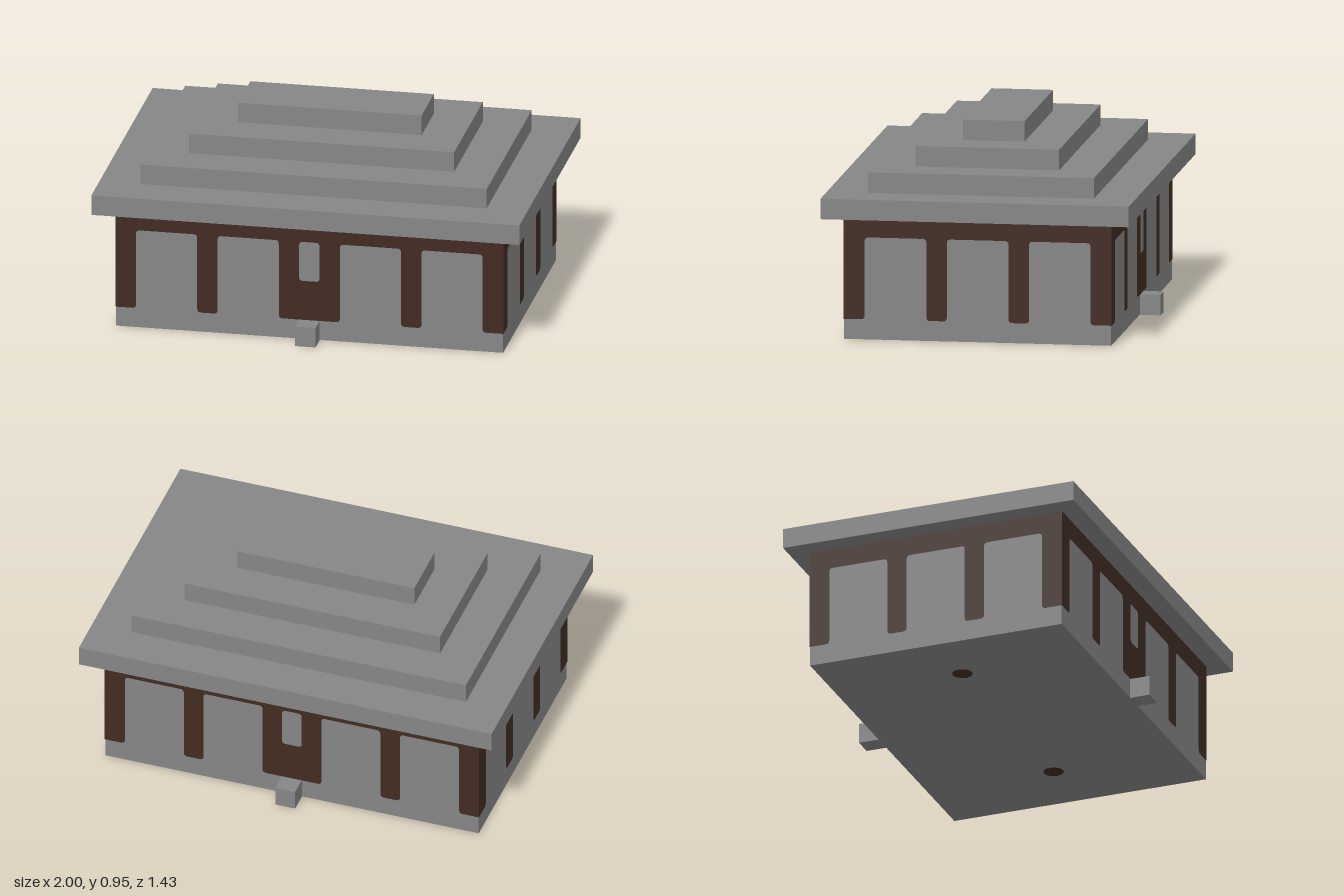
import * as THREE from 'three';

const U = 2 / 21;      // one block of the building grid
const SKIN = 0.002;    // how far painted timber stands off the wall
const R = 0.018;       // corner rounding of the timber pattern

// Traces a closed outline, rounding each corner [x, y, radius]
function roundedOutline(path, pts) {
  const n = pts.length;
  pts.forEach(([x, y, r], i) => {
    const toward = ([px, py]) => {
      const d = Math.hypot(px - x, py - y);
      return [x + (px - x) * r / d, y + (py - y) * r / d];
    };
    const a = toward(pts[(i + n - 1) % n]);
    const b = toward(pts[(i + 1) % n]);
    if (i === 0) path.moveTo(...a); else path.lineTo(...a);
    if (r > 0) path.quadraticCurveTo(x, y, ...b);
  });
  path.closePath();
  return path;
}

// Comb-shaped timber face: a top beam with posts hanging from it
function timberGeometry(posts, half, withWindow) {
  const top = 6 * U, beam = 5 * U, foot = U, edge = half + SKIN;
  const pts = [[-edge, top, 0]];
  posts.forEach(([a, b], i) => {
    const first = i === 0, last = i === posts.length - 1;
    if (!first) pts.push([a, beam, R]);
    pts.push([first ? -edge : a, foot, first ? 0 : R]);
    pts.push([last ? edge : b, foot, last ? 0 : R]);
    if (!last) pts.push([b, beam, R]);
  });
  pts.push([edge, top, 0]);
  const shape = roundedOutline(new THREE.Shape(), pts);
  if (withWindow) {
    const w = U / 2;
    shape.holes.push(roundedOutline(new THREE.Path(),
      [[-w, 3 * U, R], [w, 3 * U, R], [w, beam, R], [-w, beam, R]]));
  }
  return new THREE.ShapeGeometry(shape, 5);
}

export function createModel() {
  const stone = new THREE.MeshStandardMaterial({ color: 0x868686 });
  stone.name = 'grey stone';
  const wood = new THREE.MeshStandardMaterial({ color: 0x412c22 });
  wood.name = 'dark brown timber';

  const model = new THREE.Group();
  model.name = 'steppedRoofHouse';

  const add = (name, geometry, material, x = 0, y = 0, z = 0) => {
    const mesh = new THREE.Mesh(geometry, material);
    mesh.name = name;
    mesh.position.set(x, y, z);
    model.add(mesh);
    return mesh;
  };

  // Wall block
  const hx = 9.5 * U, hz = 6.5 * U;
  add('walls', new THREE.BoxGeometry(2 * hx, 6 * U - SKIN, 2 * hz), stone, 0, 3 * U + SKIN / 2, 0);

  // Timber on the four walls
  const longPosts = [[-9.5, -8.5], [-5.5, -4.5], [-1.5, 1.5], [4.5, 5.5], [8.5, 9.5]];
  const shortPosts = [[-6.5, -5.5], [-2.5, -1.5], [1.5, 2.5], [5.5, 6.5]];
  const scale = (list) => list.map(([a, b]) => [a * U, b * U]);
  const longFace = timberGeometry(scale(longPosts), hx, true);
  const shortFace = timberGeometry(scale(shortPosts), hz, false);
  add('frontTimber', longFace, wood, 0, 0, hz + SKIN);
  add('backTimber', longFace, wood, 0, 0, -hz - SKIN).rotation.y = Math.PI;
  add('leftTimber', shortFace, wood, hx + SKIN, 0, 0).rotation.y = Math.PI / 2;
  add('rightTimber', shortFace, wood, -hx - SKIN, 0, 0).rotation.y = -Math.PI / 2;

  // Doorsteps at front and back
  for (const [name, side] of [['frontStep', 1], ['backStep', -1]]) {
    add(name, new THREE.BoxGeometry(U, U, U), stone, 0, U / 2, side * 7 * U);
  }

  // Stepped roof, each tier two blocks smaller per side
  for (let i = 0; i < 4; i++) {
    add('roofTier' + (i + 1),
      new THREE.BoxGeometry((21 - 4 * i) * U, U, (15 - 4 * i) * U),
      stone, 0, (6.5 + i) * U, 0);
  }

  // Round timber ends showing in the underside
  for (const side of [-1, 1]) {
    add('floorPeg', new THREE.CylinderGeometry(U / 2, U / 2, 0.006, 12), wood, side * 6 * U, 0.003, 0);
  }
  return model;
}
